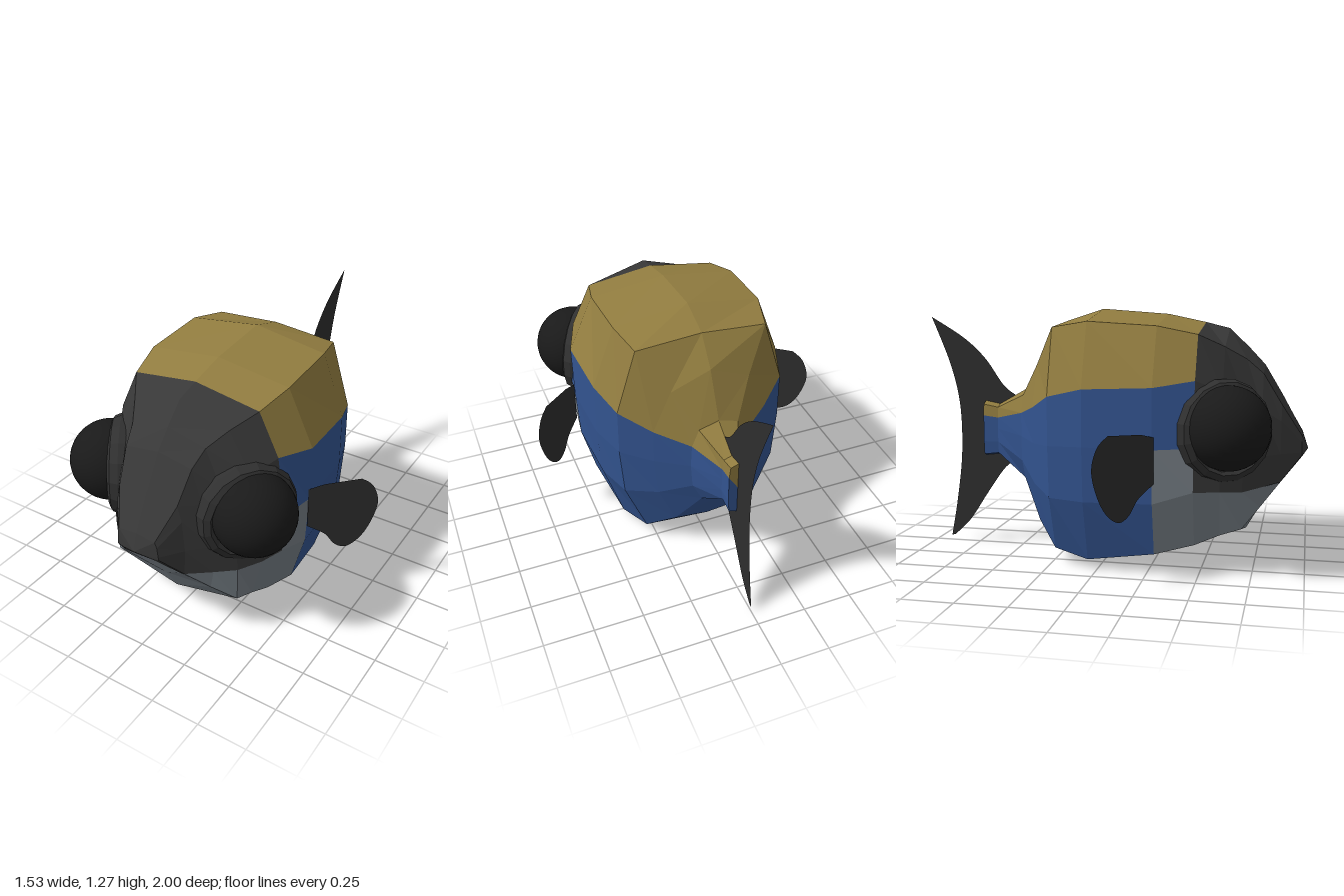
import * as THREE from 'three';

const paint = (color, extra = {}) => new THREE.MeshStandardMaterial({ color, ...extra });

// Half sections, nose to tail: z, top y, then x,y of shoulder, flank line, cheek, jaw, keel, then bottom y
const head = [
  [0.97, 0.67, 0.10, 0.66, 0.11, 0.63, 0.115, 0.58, 0.115, 0.565, 0.09, 0.555, 0.55],
  [0.87, 0.85, 0.16, 0.82, 0.18, 0.74, 0.19, 0.58, 0.18, 0.44, 0.16, 0.435, 0.45],
  [0.78, 1.00, 0.18, 0.97, 0.23, 0.80, 0.28, 0.58, 0.28, 0.43, 0.26, 0.33, 0.30],
  [0.70, 1.085, 0.20, 1.04, 0.28, 0.85, 0.35, 0.62, 0.36, 0.42, 0.355, 0.24, 0.16],
  [0.60, 1.18, 0.26, 1.10, 0.37, 0.90, 0.42, 0.63, 0.43, 0.43, 0.375, 0.21, 0.135],
];
const trunk = [
  [0.48, 1.21, 0.34, 1.16, 0.44, 0.95, 0.48, 0.64, 0.47, 0.43, 0.395, 0.16, 0.10],
  [0.29, 1.25, 0.38, 1.20, 0.51, 0.92, 0.505, 0.63, 0.49, 0.37, 0.42, 0.11, 0.06],
  [-0.05, 1.275, 0.375, 1.22, 0.49, 0.905, 0.49, 0.63, 0.47, 0.36, 0.37, 0.05, 0.005],
  [-0.235, 1.215, 0.33, 1.19, 0.43, 0.86, 0.43, 0.62, 0.41, 0.36, 0.30, 0.08, 0.06],
  [-0.35, 1.08, 0.20, 1.00, 0.29, 0.79, 0.29, 0.61, 0.27, 0.40, 0.18, 0.19, 0.17],
  [-0.46, 0.86, 0.10, 0.83, 0.135, 0.74, 0.14, 0.62, 0.13, 0.49, 0.08, 0.39, 0.37],
  [-0.62, 0.77, 0.04, 0.755, 0.046, 0.70, 0.046, 0.64, 0.046, 0.57, 0.04, 0.51, 0.50],
  [-0.70, 0.785, 0.04, 0.77, 0.046, 0.71, 0.046, 0.64, 0.046, 0.57, 0.04, 0.50, 0.49],
];

// Full closed ring: top, down the left side, bottom, up the right side
function ring(s) {
  const z = s[0];
  const side = [];
  for (let i = 2; i < 12; i += 2) side.push([s[i], s[i + 1], z]);
  const mirrored = side.map(([x, y]) => [-x, y, z]).reverse();
  return [[0, s[1], z], ...side, [0, s[12], z], ...mirrored];
}

// Colour patch for a band between sections j and j+1, and strip r counted from the top
function patch(j, r) {
  const start = head.length;
  if (r < 2) return j < start ? 'dark' : 'gold';
  if (r === 2) return j < start ? 'dark' : 'blue';
  if (r === 3) return j < start ? 'dark' : j === start ? 'grey' : 'blue';
  return j === 0 ? 'dark' : j <= start ? 'grey' : 'blue';
}

function makeBody() {
  const faces = { dark: [], gold: [], blue: [], grey: [] };
  const rings = [...head, ...trunk].map(ring);
  const n = rings[0].length;
  const nose = [0, 0.585, 1];
  const stump = [0, 0.64, -0.70];
  for (let i = 0; i < n; i++) {
    const k = (i + 1) % n;
    const strip = i < n / 2 ? i : n - 1 - i;
    for (let j = 0; j < rings.length - 1; j++) {
      const a = rings[j], b = rings[j + 1];
      faces[patch(j, strip)].push(a[i], a[k], b[k], a[i], b[k], b[i]);
    }
    const last = rings[rings.length - 1];
    faces.dark.push(nose, rings[0][k], rings[0][i]);
    faces[strip < 2 ? 'gold' : 'blue'].push(stump, last[i], last[k]);
  }

  const parts = [
    ['face', 'dark', 0x383838], ['back', 'gold', 0x927d40],
    ['flanks', 'blue', 0x335490], ['chin', 'grey', 0x757d84],
  ];
  const body = new THREE.Group();
  body.name = 'body';
  for (const [name, key, color] of parts) {
    const geo = new THREE.BufferGeometry();
    geo.setAttribute('position', new THREE.Float32BufferAttribute(faces[key].flat(), 3));
    geo.computeVertexNormals();
    const mesh = new THREE.Mesh(geo, paint(color, { flatShading: true }));
    mesh.name = name;
    body.add(mesh);
  }
  return body;
}

// Eye: smooth ball in a faceted socket rim, turned outward and forward
function makeEye(side) {
  const eye = new THREE.Group();
  eye.name = side > 0 ? 'leftEye' : 'rightEye';

  const ball = new THREE.Mesh(new THREE.SphereGeometry(0.2, 32, 20), paint(0x1a1a1a));
  ball.name = 'eyeball';
  ball.position.set(side * 0.41, 0.73, 0.635);

  const profile = [[0.21, -0.15], [0.245, -0.09], [0.25, -0.03], [0.235, 0.01], [0.205, 0.025], [0.18, 0]];
  const rim = new THREE.Mesh(
    new THREE.LatheGeometry(profile.map(([r, h]) => new THREE.Vector2(r, h)), 16),
    paint(0x303030, { flatShading: true, side: THREE.DoubleSide }));
  rim.name = 'eyeSocket';
  rim.position.set(side * 0.385, 0.71, 0.63);
  rim.quaternion.setFromUnitVectors(
    new THREE.Vector3(0, 1, 0), new THREE.Vector3(side * 0.83, 0.04, 0.55).normalize());

  eye.add(ball, rim);
  return eye;
}

// Thin fin drawn in (z, y); place() gives x for each z
function makeFin(name, shape, place) {
  const geo = new THREE.ShapeGeometry(shape, 6);
  const pos = geo.attributes.position;
  for (let i = 0; i < pos.count; i++) {
    const z = pos.getX(i);
    pos.setXYZ(i, place(z), pos.getY(i), z);
  }
  geo.computeVertexNormals();
  const fin = new THREE.Mesh(geo, paint(0x2e2e2e, { side: THREE.DoubleSide }));
  fin.name = name;
  return fin;
}

const curve = (shape, pts) => shape.splineThru(pts.map(([z, y]) => new THREE.Vector2(z, y)));

function tailShape() {
  const s = new THREE.Shape();
  s.moveTo(-0.52, 0.81);
  curve(s, [[-0.60, 0.87], [-0.70, 1.01], [-0.82, 1.12], [-1, 1.23]]);
  curve(s, [[-0.90, 0.98], [-0.85, 0.76], [-0.845, 0.5], [-0.875, 0.25], [-0.915, 0.03]]);
  s.lineTo(-0.895, 0.035);
  curve(s, [[-0.80, 0.13], [-0.70, 0.28], [-0.60, 0.42], [-0.53, 0.47]]);
  return s;
}

function sideFinShape() {
  const s = new THREE.Shape();
  s.moveTo(0.30, 0.69);
  s.lineTo(0.25, 0.71);
  s.lineTo(0.125, 0.72);
  curve(s, [[0.085, 0.67], [0.065, 0.57], [0.085, 0.45], [0.12, 0.36], [0.165, 0.315], [0.205, 0.34], [0.24, 0.41], [0.30, 0.47]]);
  return s;
}

export function createModel() {
  const fish = new THREE.Group();
  fish.name = 'fish';
  fish.add(makeBody(), makeFin('tailFin', tailShape(), () => 0));
  for (const side of [1, -1]) {
    fish.add(makeEye(side));
    fish.add(makeFin(side > 0 ? 'leftFin' : 'rightFin', sideFinShape(),
      (z) => side * (0.505 + (0.30 - z) * 1.1)));
  }
  return fish;
}
